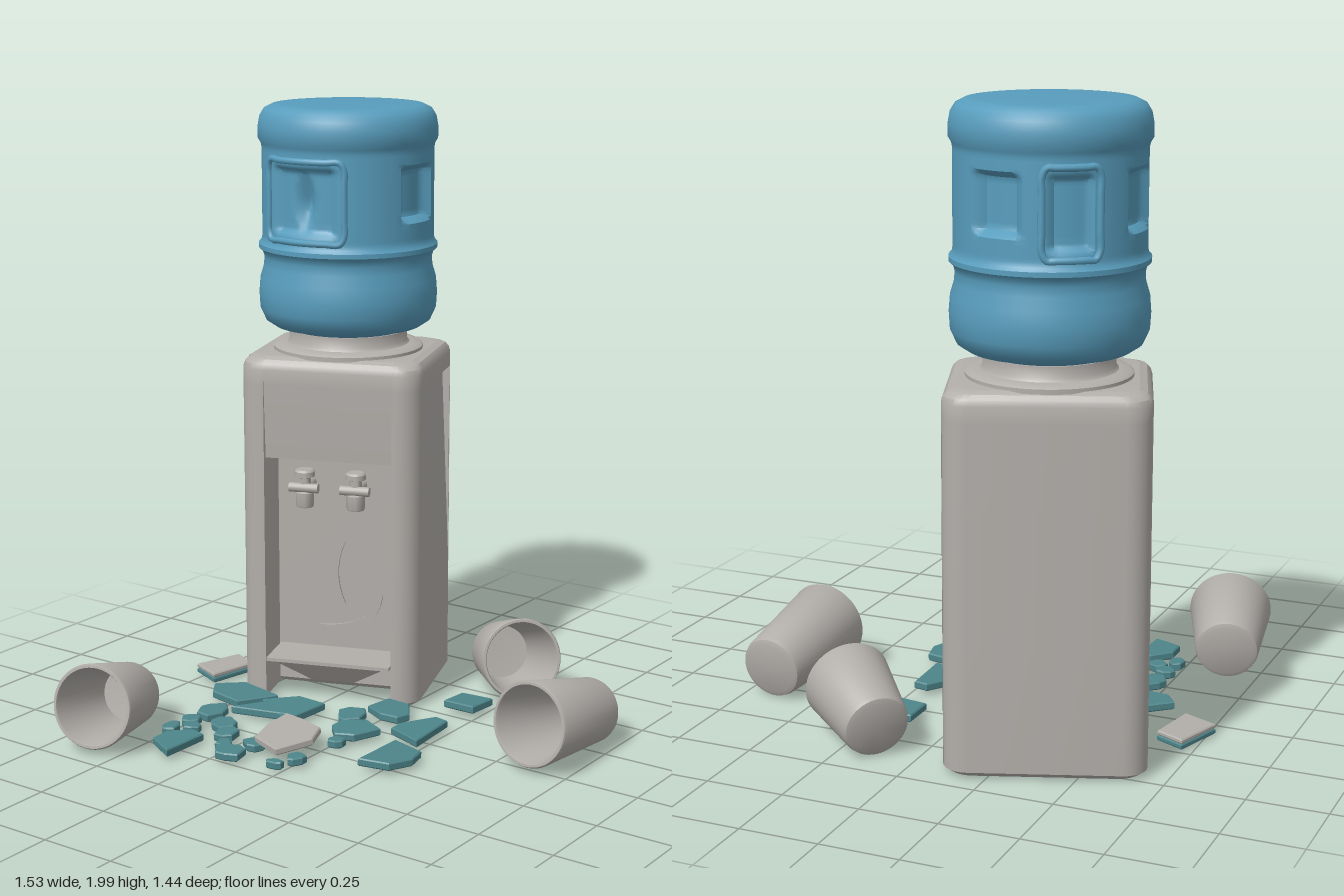
import * as THREE from 'three';
import { toCreasedNormals } from 'three/addons/utils/BufferGeometryUtils.js';

const mat = (name, color, side = THREE.FrontSide) => {
  const m = new THREE.MeshStandardMaterial({ color, side });
  m.name = name;
  return m;
};
const V2 = (p) => new THREE.Vector2(p[0], p[1]);
const V3 = (x, y, z) => new THREE.Vector3(x, y, z);
const rad = THREE.MathUtils.degToRad;

export function createModel() {
  const grey = mat('warm grey plastic', 0xb2aeaa);
  const blue = mat('bottle blue', 0x589dbd);
  const teal = mat('shard teal', 0x4d858a);
  const model = new THREE.Group();
  model.name = 'brokenWaterCooler';

  const add = (parent, name, geo, material, x = 0, y = 0, z = 0) => {
    const mesh = new THREE.Mesh(geo, material);
    mesh.name = name;
    mesh.position.set(x, y, z);
    parent.add(mesh);
    return mesh;
  };
  const lathe = (pts, seg = 48, start = 0) =>
    toCreasedNormals(new THREE.LatheGeometry(pts.map(V2), seg, start), 0.7);

  const cooler = new THREE.Group();
  cooler.name = 'cooler';
  cooler.position.set(-0.325, 0, -0.36);
  cooler.rotation.y = rad(20);
  model.add(cooler);

  // Body: rounded square rings with a front bay and tapering side grips
  const ring = (front, side, inset) => {
    const W = 0.305 - inset, D = 0.265 - inset, r = 0.075, f = 0.217, pts = [];
    const corner = (sx, sz, a0) => {
      for (let i = 0; i <= 6; i++) {
        const a = rad(a0 + i * 15);
        pts.push([sx * (W - r) + r * Math.sin(a), sz * (D - r) + r * Math.cos(a)]);
      }
    };
    pts.push([-f, D], [-f, D - front], [f, D - front], [f, D]);
    corner(1, 1, 0);
    pts.push([W, 0.18], [W - side, 0.18], [W - side, -0.2], [W, -0.2]);
    corner(1, -1, 90);
    corner(-1, -1, 180);
    pts.push([-W, -0.2], [side - W, -0.2], [side - W, 0.18], [-W, 0.18]);
    corner(-1, 1, 270);
    return pts;
  };
  // y, bay depth, grip depth, edge inset
  const rows = [
    [0.02, 0.16, 0, 0.015], [0.035, 0.16, 0, 0], [0.4, 0.16, 0, 0], [0.85, 0.16, 0.018, 0],
    [0.85, 0.02, 0.018, 0], [1.1, 0.004, 0.028, 0], [1.1, 0.004, 0, 0], [1.15, 0, 0, 0],
    [1.168, 0, 0, 0.005], [1.182, 0, 0, 0.017], [1.19, 0, 0, 0.04],
  ];
  const pos = [], index = [];
  const rings = rows.map(([y, f, s, inset]) => {
    const pts = ring(f, s, inset);
    pts.forEach(([x, z]) => pos.push(x, y, z));
    return pts;
  });
  const n = rings[0].length;
  for (let j = 0; j < rows.length - 1; j++) {
    for (let i = 0; i < n; i++) {
      const k = (i + 1) % n, a = j * n + i, b = j * n + k;
      index.push(a, b, b + n, a, b + n, a + n);
    }
  }
  [0, rows.length - 1].forEach((j) => {
    const pts = rings[j];
    THREE.ShapeUtils.triangulateShape(pts.map(V2), []).forEach(([a, b, c]) => {
      const [A, B, C] = [pts[a], pts[b], pts[c]];
      const cross = (B[0] - A[0]) * (C[1] - A[1]) - (B[1] - A[1]) * (C[0] - A[0]);
      const up = cross < 0;
      const t = up === (j > 0) ? [a, b, c] : [a, c, b];
      index.push(...t.map((v) => v + j * n));
    });
  });
  const bodyGeo = new THREE.BufferGeometry();
  bodyGeo.setAttribute('position', new THREE.Float32BufferAttribute(pos, 3));
  bodyGeo.setIndex(index);
  add(cooler, 'body', toCreasedNormals(bodyGeo, 0.5), grey);

  // Drip tray: a box narrowed towards its underside
  const trayGeo = new THREE.BoxGeometry(0.41, 0.085, 0.17);
  const tp = trayGeo.attributes.position;
  for (let i = 0; i < tp.count; i++) {
    if (tp.getY(i) < 0) tp.setXYZ(i, tp.getX(i) * 0.36, tp.getY(i), tp.getZ(i) > 0 ? 0.02 : -0.08);
  }
  trayGeo.computeVertexNormals();
  add(cooler, 'dripTray', trayGeo, grey, 0, 0.115, 0.185);
  add(cooler, 'trayRim', new THREE.BoxGeometry(0.425, 0.012, 0.175), grey, 0, 0.155, 0.187);

  // Taps
  [-0.1, 0.076].forEach((x) => {
    const tap = new THREE.Group();
    tap.name = 'tap';
    tap.position.set(x, 0, 0.185);
    cooler.add(tap);
    add(tap, 'spout', lathe([[0, 0.675], [0.028, 0.675], [0.03, 0.68], [0.03, 0.725], [0.02, 0.73],
      [0.02, 0.775], [0.034, 0.78], [0.034, 0.797], [0.028, 0.803], [0, 0.803]], 24), grey);
    const bar = add(tap, 'lever', new THREE.CylinderGeometry(0.016, 0.016, 0.1, 16), grey, 0, 0.742, 0.012);
    bar.rotation.z = Math.PI / 2;
    const stem = add(tap, 'stem', new THREE.CylinderGeometry(0.018, 0.018, 0.09, 16), grey, 0, 0.74, -0.04);
    stem.rotation.x = Math.PI / 2;
  });

  // Curved cracks on the bay's back wall
  const crescent = (name, a, c1, b, c2) => {
    const s = new THREE.Shape();
    s.moveTo(...a);
    s.quadraticCurveTo(...c1, ...b);
    s.quadraticCurveTo(...c2, ...a);
    add(cooler, name, new THREE.ExtrudeGeometry(s, { depth: 0.009, bevelEnabled: false }), grey, 0, 0, 0.104);
  };
  crescent('upperCrack', [0.02, 0.54], [-0.13, 0.44], [0.02, 0.32], [-0.03, 0.43]);
  crescent('lowerCrack', [-0.07, 0.24], [0.13, 0.19], [0.15, 0.36], [0.1, 0.24]);

  // Collar under the bottle
  add(cooler, 'collar', lathe([[0.25, 1.185], [0.25, 1.2], [0.24, 1.207], [0.205, 1.21],
    [0.197, 1.22], [0.197, 1.255], [0, 1.256]]), grey);

  // Bottle with pressed-in panels: azimuth, half width (degrees), y range, depth
  const bottle = new THREE.Group();
  bottle.name = 'bottle';
  bottle.position.set(-0.325, 0, -0.36);
  model.add(bottle);
  const panels = [[3, 26, 1.59, 1.82, 0.022], [90, 18, 1.63, 1.82, 0.035], [168, 17, 1.63, 1.82, 0.035],
    [214, 15, 1.59, 1.82, 0.022], [270, 18, 1.63, 1.82, 0.03]];
  const profile = [[0, 1.25], [0.18, 1.25], [0.2, 1.26], [0.245, 1.27], [0.275, 1.29], [0.293, 1.33],
    [0.296, 1.38], [0.292, 1.43], [0.28, 1.47], [0.278, 1.5], [0.284, 1.52], [0.296, 1.53], [0.296, 1.545], [0.287, 1.555]];
  for (let y = 1.57; y < 1.865; y += 0.01) profile.push([0.284, y]);
  profile.push([0.287, 1.875], [0.296, 1.89], [0.296, 1.93], [0.29, 1.962], [0.276, 1.985], [0.25, 1.998], [0.22, 2], [0, 2]);
  const bottleGeo = new THREE.LatheGeometry(profile.map(V2), 120, rad(315));
  const bp = bottleGeo.attributes.position;
  const edge = THREE.MathUtils.smoothstep;
  for (let i = 0; i < bp.count; i++) {
    const x = bp.getX(i), y = bp.getY(i), z = bp.getZ(i);
    const az = THREE.MathUtils.radToDeg(Math.atan2(x, z));
    let dent = 0;
    panels.forEach(([a, half, y0, y1, depth]) => {
      const off = Math.abs(((az - a + 540) % 360) - 180);
      dent += depth * (1 - edge(off, half - 5, half)) * edge(y, y0, y0 + 0.025) * (1 - edge(y, y1 - 0.025, y1));
    });
    // crumple in the middle of the front panel
    const d = Math.hypot((az - 4) / 9, (y - 1.7) / 0.1);
    if (d < 1) dent += 0.04 * (1 - d);
    const k = 1 - dent / 0.284;
    bp.setXYZ(i, x * k, y, z * k);
  }
  add(bottle, 'bottleShell', toCreasedNormals(bottleGeo, 0.7), blue);

  // Raised frames around two of the panels
  const frame = (a, half, y0, y1) => {
    const pts = [], c = 3, h = 0.025;
    const put = (deg, y) => pts.push(V3(0.287 * Math.sin(rad(deg)), y, 0.287 * Math.cos(rad(deg))));
    const L = a - half, R = a + half;
    for (let i = 0; i <= 6; i++) put(L + c + (R - L - 2 * c) * i / 6, y0);
    for (let i = 0; i <= 4; i++) put(R, y0 + h + (y1 - y0 - 2 * h) * i / 4);
    for (let i = 0; i <= 6; i++) put(R - c - (R - L - 2 * c) * i / 6, y1);
    for (let i = 0; i <= 4; i++) put(L, y1 - h - (y1 - y0 - 2 * h) * i / 4);
    add(bottle, 'panelFrame', new THREE.TubeGeometry(new THREE.CatmullRomCurve3(pts, true), 96, 0.011, 8, true), blue);
  };
  frame(3, 30, 1.575, 1.835);
  frame(214, 17, 1.575, 1.835);

  // Fallen cups, from base centre to mouth centre
  const cup = (base, mouth) => {
    const axis = mouth.clone().sub(base), l = axis.length(), r = 0.105, m = 0.137;
    const geo = lathe([[0, 0], [r - 0.02, 0], [r - 0.005, 0.006], [r, 0.02], [m, l - 0.008], [m - 0.004, l],
      [m - 0.012, l], [m - 0.016, l - 0.008], [r - 0.016, 0.025], [0, 0.02]]);
    const mesh = add(model, 'cup', geo, grey, base.x, base.y, base.z);
    mesh.quaternion.setFromUnitVectors(V3(0, 1, 0), axis.normalize());
  };
  cup(V3(-0.66, 0.115, 0.395), V3(-0.585, 0.168, 0.675));
  cup(V3(0.65, 0.115, -0.345), V3(0.622, 0.168, 0.012));
  cup(V3(0.108, 0.115, -0.655), V3(0.305, 0.175, -0.475));

  // Shards: flat uneven polygons
  let seed = 7;
  const rnd = () => (seed = (seed * 16807) % 2147483647) / 2147483647;
  const shard = (name, material, pts, y, thick = 0.018, tilt = 0.08) => {
    const cx = pts.reduce((s, p) => s + p[0], 0) / pts.length;
    const cz = pts.reduce((s, p) => s + p[1], 0) / pts.length;
    const shape = new THREE.Shape(pts.map((p) => new THREE.Vector2(p[0] - cx, cz - p[1])));
    const geo = new THREE.ExtrudeGeometry(shape, { depth: thick, bevelSize: 0.004, bevelThickness: 0.004, bevelOffset: -0.004, bevelSegments: 1 });
    geo.rotateX(-Math.PI / 2);
    const mesh = add(model, name, geo, material, cx, y, cz);
    mesh.rotation.set((rnd() - 0.5) * tilt, 0, (rnd() - 0.5) * tilt);
  };
  // Large shards by outline
  [
    [[0.13, -0.38], [0.25, -0.38], [0.245, -0.265], [0.125, -0.275]],
    [[0.19, 0.11], [0.31, 0.14], [0.325, 0.21], [0.29, 0.29], [0.19, 0.315]],
    [[0.19, -0.13], [0.24, -0.12], [0.25, 0.075], [0.12, 0.03], [0.12, -0.02]],
    [[-0.04, -0.19], [0.05, -0.18], [0.105, -0.1], [0.09, -0.05], [0.02, -0.05], [-0.055, -0.09]],
    [[-0.05, 0.07], [0.02, 0.02], [0.1, 0.06], [0.06, 0.15], [0, 0.175], [-0.05, 0.12]],
    [[-0.29, -0.03], [-0.18, -0.02], [-0.2, 0.17], [-0.38, 0.06]],
    [[-0.6, 0.04], [-0.52, -0.03], [-0.36, 0], [-0.44, 0.12], [-0.56, 0.1]],
    [[-0.35, 0.06], [-0.22, 0.13], [-0.42, 0.175]],
    [[-0.45, 0.47], [-0.39, 0.41], [-0.34, 0.42], [-0.35, 0.59], [-0.45, 0.54]],
  ].forEach((p) => shard('largeShard', teal, p, 0.032));

  // Small shards: x, z, half width, half depth
  [
    [-0.065, -0.01, 0.05, 0.055], [-0.46, 0.22, 0.045, 0.065], [-0.36, 0.29, 0.05, 0.045], [-0.3, 0.35, 0.04, 0.045],
    [-0.475, 0.325, 0.035, 0.035], [-0.485, 0.41, 0.03, 0.04], [-0.43, 0.37, 0.03, 0.03], [-0.25, 0.425, 0.03, 0.03],
    [-0.2, 0.465, 0.055, 0.045], [-0.02, 0.46, 0.03, 0.02], [0.03, 0.205, 0.03, 0.03], [0.01, 0.39, 0.03, 0.035],
    [-0.17, 0.37, 0.04, 0.04],
  ].forEach(([x, z, a, b]) => {
    const pts = [];
    for (let i = 0; i < 7; i++) {
      const t = (i + rnd() * 0.6) / 7 * Math.PI * 2, k = 0.85 + rnd() * 0.3;
      pts.push([x + a * k * Math.cos(t), z + b * k * Math.sin(t)]);
    }
    shard('smallShard', teal, pts, 0.028);
  });

  // Grey fragments broken off the housing
  shard('housingFragment', grey, [[-0.2, 0.16], [-0.12, 0.18], [-0.02, 0.22], [0.015, 0.31], [-0.04, 0.43], [-0.17, 0.37], [-0.2, 0.27]], 0.055, 0.016, 0.25);
  const side = [[-0.72, -0.245], [-0.625, -0.2], [-0.66, -0.03], [-0.775, -0.08]];
  shard('sideFragmentUnderside', teal, side, 0.025, 0.01, 0);
  shard('sideFragment', grey, side, 0.043, 0.008, 0);
  return model;
}
